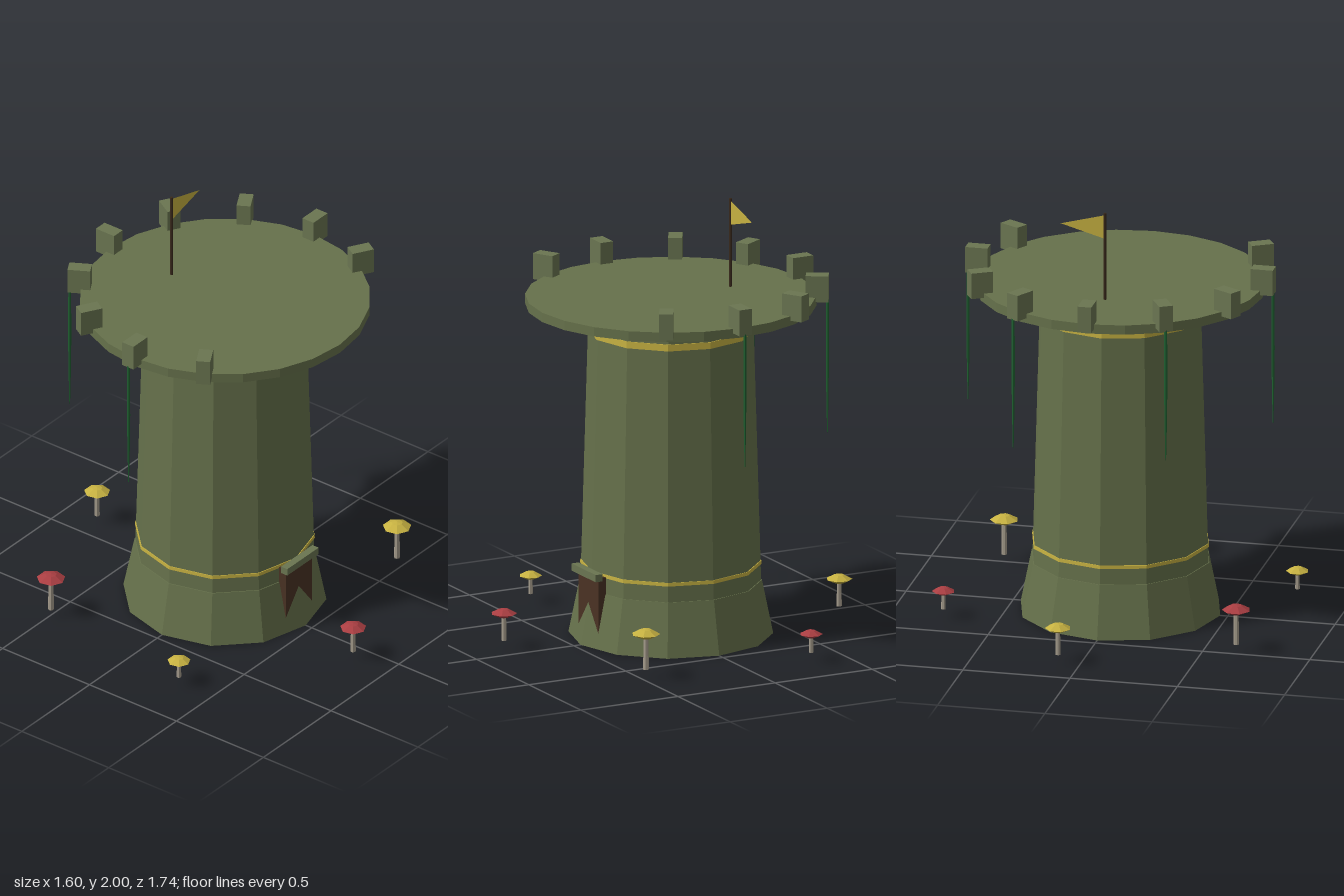
import * as THREE from 'three';

const colour = (name, hex, extra = {}) => {
  const m = new THREE.MeshStandardMaterial({ color: hex, ...extra });
  m.name = name;
  return m;
};

// Faceted copy of a geometry: every face gets its own normal
const flat = (g) => {
  const f = g.index ? g.toNonIndexed() : g;
  f.computeVertexNormals();
  return f;
};

export function createModel() {
  const mossStone = colour('mossStone', 0x66714b);
  const paleStone = colour('paleStone', 0x6a7551);
  const gold = colour('gold', 0xc6b141);
  const flagGold = colour('flagGold', 0xc6b141, { side: THREE.DoubleSide });
  const red = colour('red', 0xa93e42);
  const wood = colour('wood', 0x4a3224);
  const poleWood = colour('poleWood', 0x3a2a1c);
  const vineGreen = colour('vineGreen', 0x1f6030);
  const stemGrey = colour('stemGrey', 0xa59c8c);

  const model = new THREE.Group();
  const add = (name, geo, mat, x = 0, y = 0, z = 0, parent = model) => {
    const mesh = new THREE.Mesh(flat(geo), mat);
    mesh.name = name;
    mesh.position.set(x, y, z);
    parent.add(mesh);
    return mesh;
  };
  // Tapered prism standing between two heights
  const drum = (name, rTop, rBottom, y0, y1, sides, mat) =>
    add(name, new THREE.CylinderGeometry(rTop, rBottom, y1 - y0, sides), mat, 0, (y0 + y1) / 2, 0);

  // Tower body
  drum('base', 0.414, 0.465, 0, 0.25, 12, mossStone);
  drum('shaft', 0.373, 0.41, 0.25, 1.55, 12, mossStone);
  drum('lowerBand', 0.411, 0.412, 0.325, 0.341, 12, gold);
  drum('upperBand', 0.38, 0.381, 1.422, 1.453, 12, gold);
  drum('platform', 0.662, 0.662, 1.542, 1.586, 24, mossStone);

  // Door sunk into the sloping base, with its lintel
  add('door', new THREE.BoxGeometry(0.192, 0.32, 0.04), wood, 0, 0.17, 0.405);
  add('lintel', new THREE.BoxGeometry(0.232, 0.034, 0.036), paleStone, 0, 0.336, 0.431);

  // Battlements, leaving a gap at the front
  for (let i = 2; i <= 10; i++) {
    const a = (i * Math.PI) / 6;
    const merlon = add('merlon', new THREE.BoxGeometry(0.064, 0.122, 0.104), paleStone,
      0.665 * Math.sin(a), 1.626, 0.665 * Math.cos(a));
    merlon.rotation.y = a;
  }

  // Tapering vines hanging from four merlons
  const vineProfile = [[0, 0.945], [0.002, 0.946], [0.006, 1.13], [0.008, 1.3], [0.007, 1.57], [0, 1.57]]
    .map(([r, y]) => new THREE.Vector2(r, y));
  for (const i of [3, 5, 7, 9]) {
    const a = (i * Math.PI) / 6;
    add('vine', new THREE.LatheGeometry(vineProfile, 6), vineGreen,
      0.711 * Math.sin(a), 0, 0.711 * Math.cos(a));
  }

  // Flagpole and pennant
  add('flagpole', new THREE.CylinderGeometry(0.007, 0.008, 0.42, 6), poleWood, 0, 1.79, -0.307);
  const pennant = new THREE.Shape([
    new THREE.Vector2(0, 1.99), new THREE.Vector2(0, 1.876), new THREE.Vector2(0.207, 1.935)]);
  add('flag', new THREE.ShapeGeometry(pennant), flagGold, 0, 0, -0.307);

  // Mushrooms: x, z, cap radius, top height, cap colour
  const mushrooms = [
    [0.655, 0.48, 0.066, 0.235, gold], [-0.655, -0.49, 0.066, 0.235, red],
    [0.1, -0.813, 0.06, 0.194, gold], [-0.093, 0.81, 0.06, 0.194, red],
    [-0.75, 0.32, 0.053, 0.15, gold], [0.75, -0.32, 0.053, 0.15, red],
  ];
  for (const [x, z, r, top, mat] of mushrooms) {
    const mushroom = new THREE.Group();
    mushroom.name = 'mushroom';
    mushroom.position.set(x, 0, z);
    const stemHeight = top - 0.02 - 0.043;
    add('stem', new THREE.CylinderGeometry(r * 0.17, r * 0.21, stemHeight, 7), stemGrey,
      0, 0.043 + stemHeight / 2, 0, mushroom);
    const cap = [[0, -0.7], [0.36, -0.7], [1, -0.4], [0.4, -0.07], [0, 0]]
      .map(([a, b]) => new THREE.Vector2(a * r, b * r));
    add('cap', new THREE.LatheGeometry(cap, 7), mat, 0, top, 0, mushroom);
    model.add(mushroom);
  }
  return model;
}
